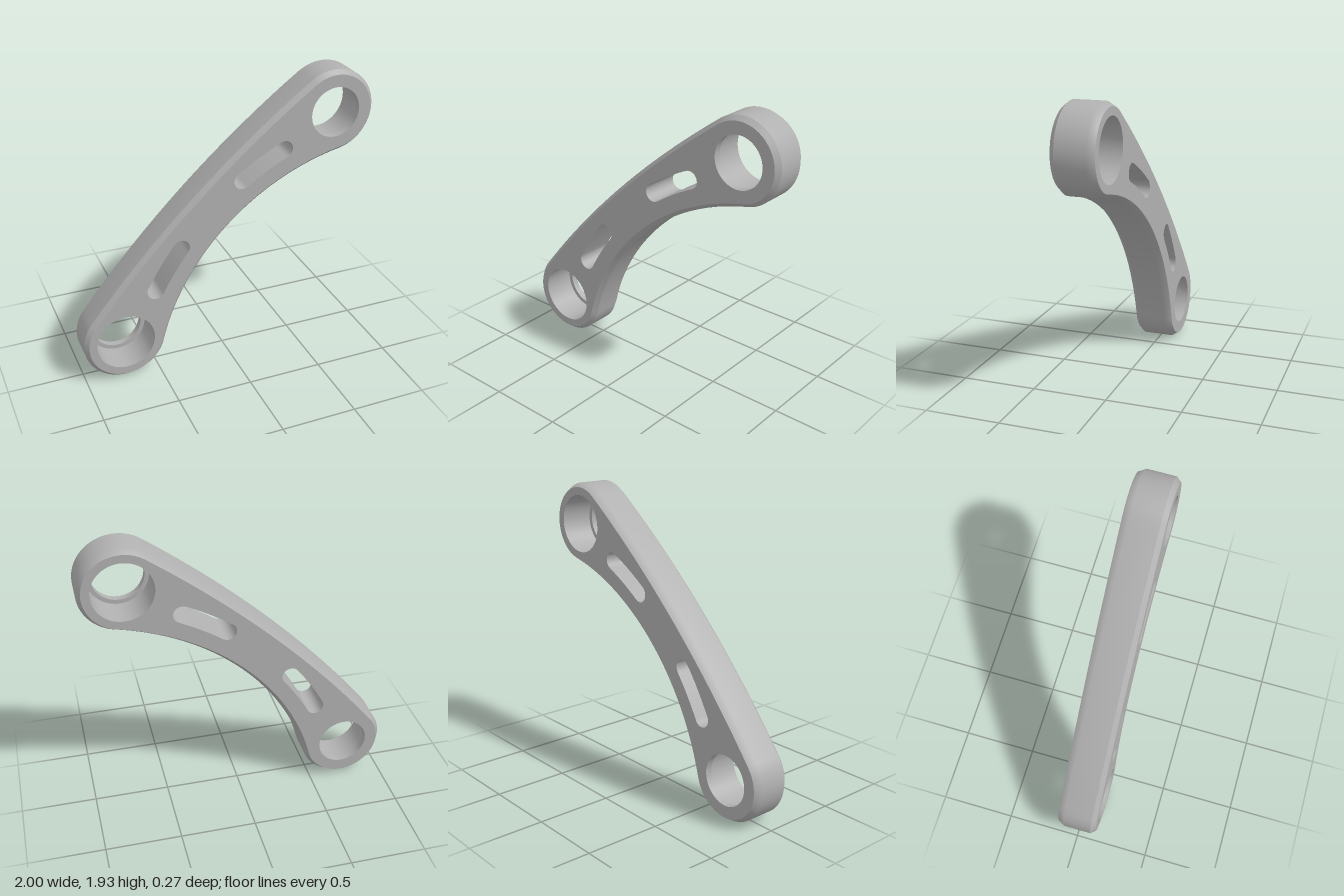
import * as THREE from 'three';

const deg = Math.PI / 180;
const HALF = 1.0025;            // half the distance between the two eyes
const EYE_R = 0.275, BORE = 0.167, COUNTERBORE = 0.195;
const Z = 0.133, LIP = 0.045;   // half thickness, thickness of the bore lip

// Points of a circular arc; the last point is left out so arcs can be chained
function arc(cx, cy, r, from, to, n) {
  return Array.from({ length: n }, (_, i) => {
    const a = (from + (to - from) * i / n) * deg;
    return new THREE.Vector2(cx + r * Math.cos(a), cy + r * Math.sin(a));
  });
}

// Arm outline, counter-clockwise: two eyes joined by tangent arcs, moved in by inset
function outline(inset) {
  const tIn = 32, tOut = 8;
  const dIn = HALF / Math.sin(tIn * deg), dOut = HALF / Math.sin(tOut * deg);
  const r = EYE_R - inset;
  return [
    ...arc(-HALF, 0, r, 90 + tOut, 270 + tIn, 48),
    ...arc(0, -dIn * Math.cos(tIn * deg), dIn - r, 90 + tIn, 90 - tIn, 48),
    ...arc(HALF, 0, r, -90 - tIn, 90 - tOut, 48),
    ...arc(0, -dOut * Math.cos(tOut * deg), dOut + r, 90 - tOut, 90 + tOut, 40),
  ];
}

// Curved slot with round ends, counter-clockwise
function slot(from, to) {
  const cy = -1.75, R = 1.947, r = 0.058;
  const cap = a => arc(R * Math.cos(a * deg), cy + R * Math.sin(a * deg), r,
    a === to ? a : a + 180, a === to ? a + 180 : a + 360, 14);
  return [
    ...arc(0, cy, R + r, from, to, 12), ...cap(to),
    ...arc(0, cy, R - r, to, from, 12), ...cap(from),
  ];
}

// Smooth wall through rings [points, z], listed back to front
function wall(rings) {
  const n = rings[0][0].length, pos = [], idx = [];
  for (const [pts, z] of rings) for (const p of pts) pos.push(p.x, p.y, z);
  for (let k = 0; k < rings.length - 1; k++) {
    for (let i = 0; i < n; i++) {
      const a = k * n + i, b = k * n + (i + 1) % n;
      idx.push(a, b, b + n, a, b + n, a + n);
    }
  }
  const g = new THREE.BufferGeometry();
  g.setAttribute('position', new THREE.Float32BufferAttribute(pos, 3));
  g.setIndex(idx);
  g.computeVertexNormals();
  return g;
}

// Inward-facing wall of a hole
function holeWall(pts, z0, z1) {
  const cw = [...pts].reverse();
  return wall([[cw, z0], [cw, z1]]);
}

// Flat face with holes, facing front or back
function face(pts, holes, z, back) {
  const shape = new THREE.Shape(pts);
  shape.holes = holes.map(h => new THREE.Path(h));
  const g = new THREE.ShapeGeometry(shape);
  if (back) {
    g.index.array.reverse();
    g.computeVertexNormals();
  }
  return g.translate(0, 0, z);
}

export function createModel() {
  const model = new THREE.Group();
  model.name = 'linkArm';
  const metal = new THREE.MeshStandardMaterial({ color: 0xb0b0b0 });
  metal.name = 'grey metal';

  // The arm is built lying along x, then tilted into place
  const arm = new THREE.Group();
  arm.name = 'arm';
  arm.rotation.z = Math.atan2(1.385, 1.45);
  arm.position.y = 0.967;
  model.add(arm);
  const add = (name, geometry) => {
    const mesh = new THREE.Mesh(geometry, metal);
    mesh.name = name;
    arm.add(mesh);
  };

  const full = outline(0), inset = outline(0.027);
  const slots = [slot(98.6, 108.3), slot(71.7, 81.4)];
  const circle = (x, r) => arc(x, 0, r, 0, 360, 64);

  // Rim: soft bevel at the back, crisp bevel at the front
  add('rim', wall([[inset, -Z], [full, -Z + 0.045], [full, Z - 0.032]]));
  add('frontBevel', wall([[full, Z - 0.032], [inset, Z]]));

  // Faces: the lower eye opens wide to the front, the upper eye to the back
  add('frontFace', face(inset, [circle(-HALF, COUNTERBORE), circle(HALF, BORE), ...slots], Z, false));
  add('backFace', face(inset, [circle(-HALF, BORE), circle(HALF, COUNTERBORE), ...slots], -Z, true));

  // Slots through the arm
  slots.forEach((s, i) => add(i ? 'upperSlot' : 'lowerSlot', holeWall(s, -Z, Z)));

  // Stepped bores
  for (const side of [-1, 1]) {
    const name = side < 0 ? 'lower' : 'upper', x = side * HALF;
    const step = side * (Z - LIP);
    const zs = (a, b) => [Math.min(a, b), Math.max(a, b)];
    add(name + 'Counterbore', holeWall(circle(x, COUNTERBORE), ...zs(step, -side * Z)));
    add(name + 'Bore', holeWall(circle(x, BORE), ...zs(step, side * Z)));
    const ledge = new THREE.RingGeometry(BORE, COUNTERBORE, 64);
    if (side > 0) ledge.rotateY(Math.PI);
    add(name + 'Ledge', ledge.translate(x, 0, step));
  }
  return model;
}
